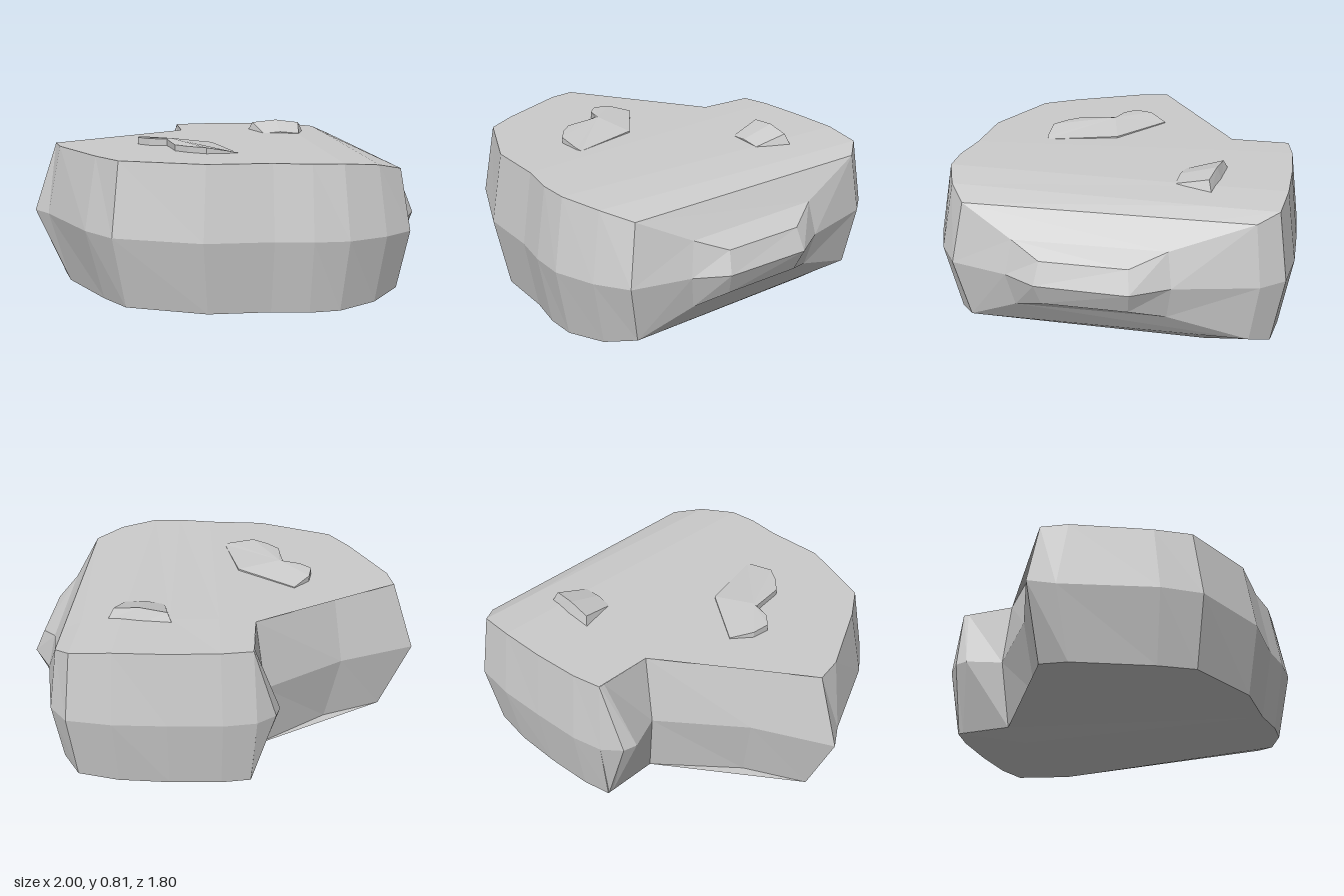
import * as THREE from 'three';

const material = new THREE.MeshStandardMaterial({ color: 0xcccccc, flatShading: true });

// Collects flat polygons (counter-clockwise from outside) into one faceted mesh
function facetedMesh(name, build) {
  const pos = [];
  build((...pts) => {
    for (let i = 1; i < pts.length - 1; i++) pos.push(...pts[0], ...pts[i], ...pts[i + 1]);
  });
  const geo = new THREE.BufferGeometry();
  geo.setAttribute('position', new THREE.Float32BufferAttribute(pos, 3));
  geo.computeVertexNormals();
  const mesh = new THREE.Mesh(geo, material);
  mesh.name = name;
  return mesh;
}

const MID = 0.4; // height of the waist
const LOW_Z = 0.985; // the underside is slightly narrower than the top
const LOW_X = 0.96;

// Outline rows: [rim x, rim z, waist x, waist z], clockwise seen from above
const leftSide = [
  [-0.59, 0.61, -0.63, 0.66], [-0.69, 0.44, -0.75, 0.48], [-0.86, 0.06, -0.93, 0.03],
  [-0.88, -0.08, -1, -0.09], [-0.56, -0.22, -0.61, -0.26], [-0.16, -0.53, -0.21, -0.55],
];
const lobe = [[-0.152, -0.8, -0.28, -0.73], [-0.151, -0.825, -0.26, -0.8]];
const back = [
  [-0.15, -0.83, -0.17, -0.87], [0, -0.855, -0.01, -0.9], [0.25, -0.86, 0.25, -0.904],
  [0.5, -0.85, 0.51, -0.9], [0.7, -0.82, 0.73, -0.865], [0.78, -0.72, 0.82, -0.75],
];
const front = [
  [-0.2, 0.785, -0.22, 0.84], [0.11, 0.8, 0.11, 0.855], [0.29, 0.835, 0.29, 0.89],
  [0.44, 0.835, 0.46, 0.896], [0.63, 0.765, 0.66, 0.825], [0.77, 0.67, 0.81, 0.725],
];
// Heights per column, running from the left to the right edge
const topY = [0.76, 0.76, 0.757, 0.755, 0.735, 0.7];
const bottomY = [0.042, 0.042, 0.042, 0.045, 0.06, 0.1];
const creaseY = [0.042, 0.01, 0.003, 0.005, 0.03, 0.1];

function buildBody(face) {
  const top = (p, y) => [p[0], y, p[1]];
  const low = (p, y) => [p[0] * (p[0] < 0 ? LOW_X : 1), y, p[1] * LOW_Z];
  const waist = (p) => [p[2], MID, p[3]];

  // Outer walls: two bands meeting at the waist
  const path = [];
  for (let i = 5; i >= 0; i--) path.push([front[i], topY[i], bottomY[i]]);
  for (const p of [...leftSide, ...lobe]) path.push([p, topY[0], bottomY[0]]);
  back.forEach((p, i) => path.push([p, topY[i], bottomY[i]]));
  for (let i = 0; i < path.length - 1; i++) {
    const [a, aTop, aLow] = path[i];
    const [b, bTop, bLow] = path[i + 1];
    face(waist(a), top(a, aTop), top(b, bTop), waist(b));
    face(low(a, aLow), waist(a), waist(b), low(b, bLow));
  }

  // Top and bottom of the wing, fanned from the notch corner
  const notch = leftSide[5];
  const wing = [front[0], ...leftSide.slice(0, 5)];
  face(top(notch, topY[0]), ...wing.map((p) => top(p, topY[0])).reverse());
  face(low(notch, bottomY[0]), ...wing.map((p) => low(p, bottomY[0])));

  // Top and bottom of the main block, in strips with a crease underneath
  const crease = back.map((p, i) => (i ? [p[0] * 0.85 + front[i][0] * 0.15, -0.5] : notch));
  for (let i = 0; i < 5; i++) {
    const j = i + 1;
    const strips = [[back, crease, bottomY, creaseY], [crease, front, creaseY, bottomY]];
    for (const [p, q, yp, yq] of strips) {
      face(top(p[i], topY[i]), top(q[i], topY[i]), top(q[j], topY[j]), top(p[j], topY[j]));
      face(low(p[i], yp[i]), low(p[j], yp[j]), low(q[j], yq[j]), low(q[i], yq[i]));
    }
  }
}

// Stepped bulge on the +x side, lofted through three six-sided rings
function buildSideBulge(face) {
  const ring = (xb, xbMid, xf, xfMid, h, zb, zbMid, zf, zfMid) => [
    [xb, MID + h, zb], [xbMid, MID, zbMid], [xb, MID - h, zb * LOW_Z],
    [xf, MID - h, zf * LOW_Z], [xfMid, MID, zfMid], [xf, MID + h, zf],
  ];
  const rings = [
    ring(0.78, 0.82, 0.77, 0.81, 0.3, -0.72, -0.75, 0.67, 0.725),
    ring(0.86, 0.9, 0.86, 0.89, 0.17, -0.33, -0.35, 0.41, 0.44),
    ring(0.95, 1, 0.94, 0.98, 0.11, -0.16, -0.17, 0.26, 0.28),
  ];
  for (let r = 0; r < 2; r++) {
    const a = rings[r], b = rings[r + 1];
    for (let i = 0; i < 6; i++) {
      const j = (i + 1) % 6;
      face(a[i], b[i], b[j], a[j]);
    }
  }
  const c = rings[2];
  face(c[0], c[5], c[4], c[1]);
  face(c[1], c[4], c[3], c[2]);
}

// Raised two-lobed patch with a low peak and upright edges
function buildLobedPatch(face) {
  const edge = [
    [-0.36, 0.765, -0.14], [-0.07, 0.768, 0.08], [0.01, 0.76, 0.44], [-0.02, 0.768, 0.45],
    [-0.15, 0.79, 0.45], [-0.23, 0.79, 0.39], [-0.29, 0.79, 0.32], [-0.3, 0.79, 0.21],
    [-0.31, 0.795, 0.13], [-0.4, 0.795, 0.1], [-0.455, 0.795, 0.04], [-0.44, 0.79, -0.05],
  ];
  const peak = [-0.29, 0.8, 0.13];
  edge.forEach((a, i) => {
    const b = edge[(i + 1) % edge.length];
    face(peak, b, a);
    face([a[0], 0.74, a[2]], a, b, [b[0], 0.74, b[2]]);
  });
}

// Small wedge rising towards the back
function buildWedge(face) {
  const low = [[0.295, 0.755, -0.335], [0.39, 0.765, -0.32], [0.495, 0.755, -0.31]];
  const ridge = [[0.265, 0.8, -0.52], [0.4, 0.815, -0.5], [0.53, 0.8, -0.475]];
  const base = [[0.24, 0.745, -0.545], [0.4, 0.745, -0.525], [0.56, 0.745, -0.49]];
  for (let i = 0; i < 2; i++) {
    face(low[i], low[i + 1], ridge[i + 1], ridge[i]);
    face(ridge[i], ridge[i + 1], base[i + 1], base[i]);
  }
  face(low[0], ridge[0], base[0]);
  face(low[2], base[2], ridge[2]);
  face([0.295, 0.74, -0.335], [0.495, 0.74, -0.31], low[2], low[1], low[0]);
}

export function createModel() {
  const group = new THREE.Group();
  group.name = 'facetedBlock';
  group.add(
    facetedMesh('body', buildBody),
    facetedMesh('sideBulge', buildSideBulge),
    facetedMesh('lobedPatch', buildLobedPatch),
    facetedMesh('wedge', buildWedge),
  );
  return group;
}
